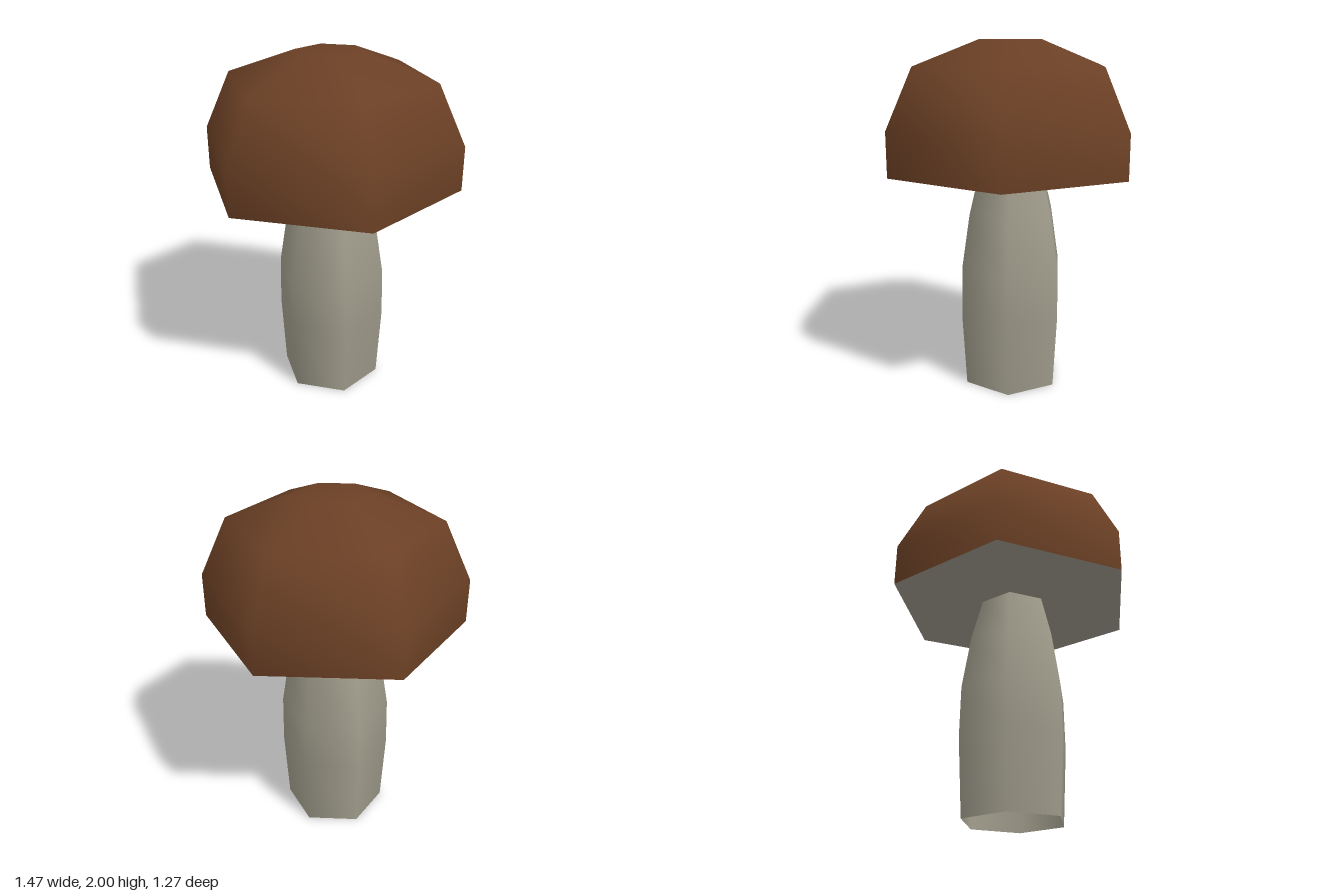
import * as THREE from 'three';

const SIDES = 6;

// Six-sided smooth lathe with a corner on the x axis
function hexLathe(profile) {
  const points = profile.map(([r, y]) => new THREE.Vector2(r, y));
  return new THREE.LatheGeometry(points, SIDES, Math.PI / 2);
}

export function createModel() {
  const brown = new THREE.MeshStandardMaterial({ color: 0x6b4025 });
  brown.name = 'capBrown';
  const grey = new THREE.MeshStandardMaterial({ color: 0xa09c8c, side: THREE.DoubleSide });
  grey.name = 'stemGrey';

  const group = new THREE.Group();
  group.name = 'mushroom';
  const add = (name, geometry, material) => {
    const mesh = new THREE.Mesh(geometry, material);
    mesh.name = name;
    group.add(mesh);
    return mesh;
  };

  // Bulging stem, open at the foot
  add('stem', hexLathe([[0.295, 0], [0.32, 0.43], [0.315, 0.72], [0.265, 1.03], [0.2, 1.28]]), grey);

  // Domed cap with a small flat crown
  add('cap', hexLathe([[0.735, 1.28], [0.735, 1.53], [0.58, 1.86], [0.195, 2], [0, 2]]), brown);

  // Flat underside of the cap
  const underside = add('capUnderside', new THREE.CircleGeometry(0.735, SIDES), grey);
  underside.rotation.x = Math.PI / 2;
  underside.position.y = 1.28;

  return group;
}
